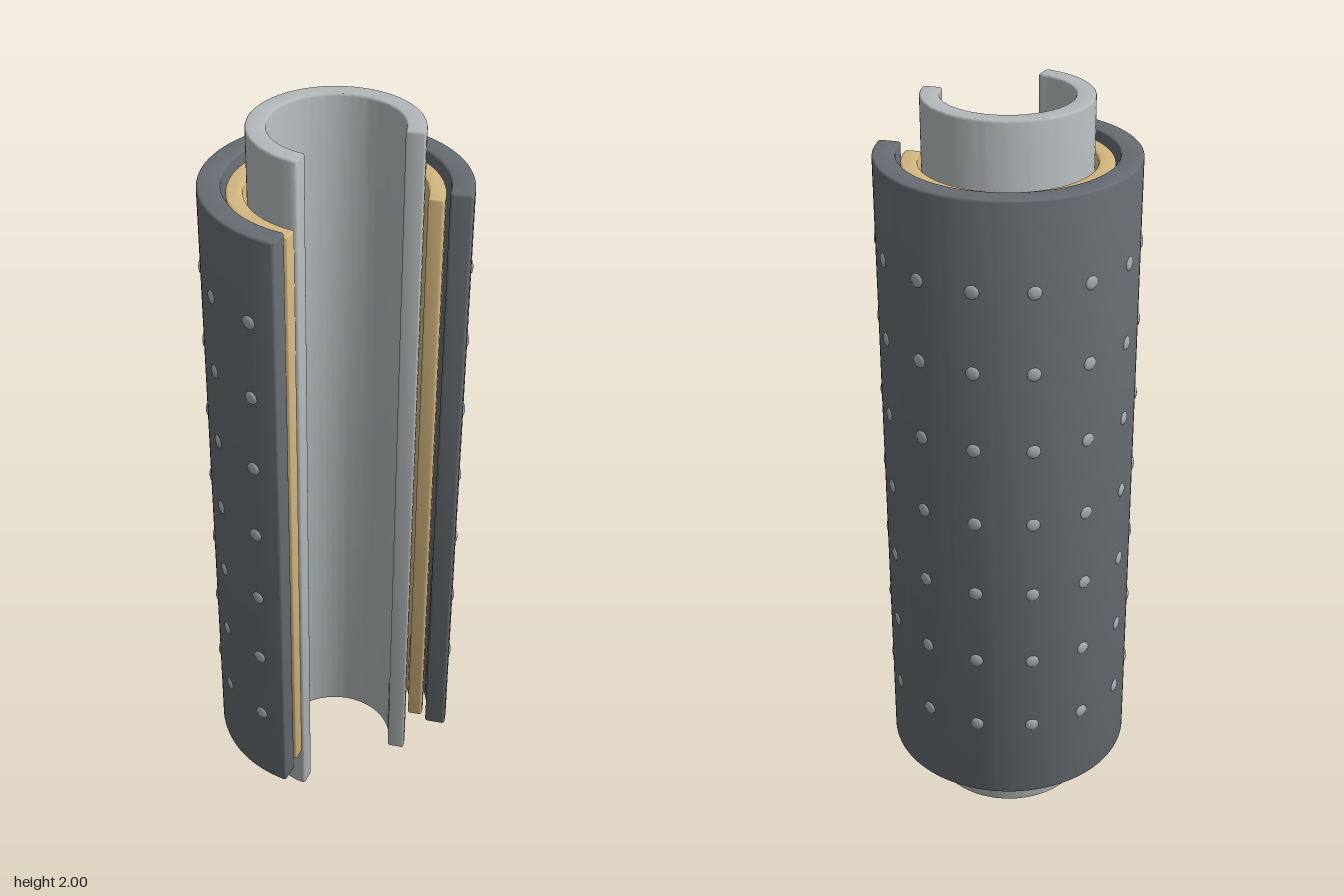
import * as THREE from 'three';
import { toCreasedNormals } from 'three/addons/utils/BufferGeometryUtils.js';

const START = THREE.MathUtils.degToRad(76);   // front edge of the cutaway, measured from +x to +z
const END = THREE.MathUtils.degToRad(334.5);  // back edge of the cutaway
const BEVEL = 0.005;

// C-shaped cross-section with rounded corners
function sectorShape(inner, outer) {
  const corner = 0.008, arcSteps = 96, cornerSteps = 5;
  const points = [];
  const polar = (r, a) => new THREE.Vector2(r * Math.cos(a), r * Math.sin(a));
  const arc = (r, a0, a1) => {
    for (let i = 0; i <= arcSteps; i++) points.push(polar(r, a0 + (a1 - a0) * i / arcSteps));
  };
  const round = (from, tip, to) => {
    const curve = new THREE.QuadraticBezierCurve(from, tip, to);
    points.push(...curve.getPoints(cornerSteps).slice(1, -1));
  };
  const co = corner / outer, ci = corner / inner;
  arc(outer, START + co, END - co);
  round(polar(outer, END - co), polar(outer, END), polar(outer - corner, END));
  points.push(polar(outer - corner, END), polar(inner + corner, END));
  round(polar(inner + corner, END), polar(inner, END), polar(inner, END - ci));
  arc(inner, END - ci, START + ci);
  round(polar(inner, START + ci), polar(inner, START), polar(inner + corner, START));
  points.push(polar(inner + corner, START), polar(outer - corner, START));
  round(polar(outer - corner, START), polar(outer, START), polar(outer, START + co));
  return new THREE.Shape(points);
}

// Upright cut-open tube with softened rims
function openTube(name, inner, outer, bottom, top, color) {
  const geometry = new THREE.ExtrudeGeometry(sectorShape(inner, outer), {
    depth: top - bottom - 2 * BEVEL,
    bevelEnabled: true,
    bevelThickness: BEVEL,
    bevelSize: BEVEL,
    bevelOffset: -BEVEL,
    bevelSegments: 3,
  });
  geometry.rotateX(Math.PI / 2);
  geometry.translate(0, top - BEVEL, 0);
  const mesh = new THREE.Mesh(
    toCreasedNormals(geometry, 0.6),
    new THREE.MeshStandardMaterial({ color }),
  );
  mesh.name = name;
  return mesh;
}

export function createModel() {
  const model = new THREE.Group();
  model.name = 'layeredCutawayTube';

  const layers = new THREE.Group();
  layers.name = 'layers';
  layers.position.set(0.015, 0, -0.001);
  model.add(layers);

  // Three nested layers
  layers.add(
    openTube('innerPipe', 0.162, 0.21, 0, 2, 0xb2b8ba),
    openTube('middleSleeve', 0.219, 0.26, 0.15, 1.835, 0xd2b67e),
    openTube('outerJacket', 0.271, 0.328, 0.13, 1.855, 0x666c71),
  );

  // Shallow domed studs in a regular grid on the jacket
  const studs = new THREE.Group();
  studs.name = 'studs';
  const studGeometry = new THREE.SphereGeometry(0.018, 16, 10);
  studGeometry.scale(0.35, 1, 1);
  const studMaterial = new THREE.MeshStandardMaterial({ color: 0xa6abae });
  const columns = 10, rows = 7;
  for (let c = 0; c < columns; c++) {
    const a = START + (END - START) * (c + 0.5) / columns;
    for (let r = 0; r < rows; r++) {
      const stud = new THREE.Mesh(studGeometry, studMaterial);
      stud.name = 'stud';
      stud.position.set(0.327 * Math.cos(a), 0.362 + r * 0.2108, 0.327 * Math.sin(a));
      stud.rotation.y = -a;
      studs.add(stud);
    }
  }
  layers.add(studs);

  return model;
}
